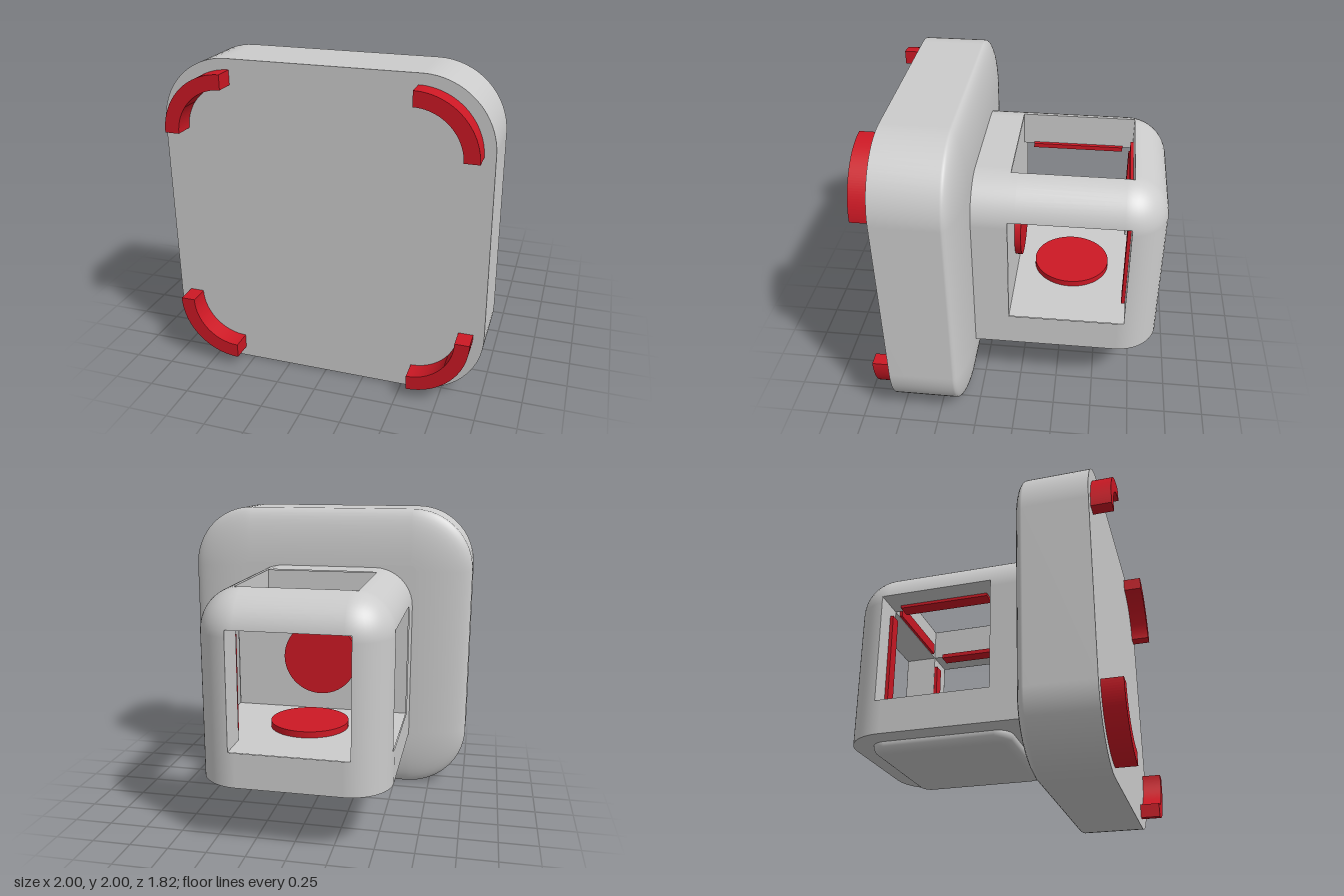
import * as THREE from 'three';

const grey = new THREE.MeshStandardMaterial({ color: 0xcccccc, side: THREE.DoubleSide });
const red = new THREE.MeshStandardMaterial({ color: 0xcc1824 });

function add(parent, name, geometry, material, x = 0, y = 0, z = 0) {
  const mesh = new THREE.Mesh(geometry, material);
  mesh.name = name;
  mesh.position.set(x, y, z);
  parent.add(mesh);
  return mesh;
}

// Rounded square lofted from +z to -z; sections are [inset, z, scale]
function plate(half, radius, sections) {
  const steps = 16, n = 4 * (steps + 1), pos = [], index = [];
  for (const [inset, z, scale = 1] of sections) {
    for (let c = 0; c < 4; c++) {
      const mid = Math.PI / 4 + c * Math.PI / 2;
      const cx = Math.sign(Math.cos(mid)) * (half - radius);
      const cy = Math.sign(Math.sin(mid)) * (half - radius);
      for (let s = 0; s <= steps; s++) {
        const a = (c + s / steps) * Math.PI / 2;
        pos.push((cx + (radius - inset) * Math.cos(a)) * scale, (cy + (radius - inset) * Math.sin(a)) * scale, z);
      }
    }
  }
  for (let k = 0; k < sections.length - 1; k++) {
    for (let i = 0; i < n; i++) {
      const a = k * n + i, b = k * n + (i + 1) % n;
      index.push(a, a + n, b, b, a + n, b + n);
    }
  }
  const g = new THREE.BufferGeometry();
  g.setAttribute('position', new THREE.Float32BufferAttribute(pos, 3));
  g.setIndex(index);
  g.computeVertexNormals();
  return g;
}

// Flat start, sharp edge, straight side, then an elliptical round into a flat end
function plateSections(zStart, zSide, inset, depth) {
  const list = [[0, zStart, 0], [0, zStart], [0, zStart]];
  for (let i = 0; i <= 12; i++) {
    const t = i / 12 * Math.PI / 2;
    list.push([inset * (1 - Math.cos(t)), zSide - depth * Math.sin(t)]);
  }
  list.push([inset, zSide - depth], [inset, zSide - depth, 0]);
  return list;
}

// Box with rounded top, side and back edges, square bottom and front, and four openings
function cageShell(half, radius, hole) {
  const flat = half - radius, lines = [];
  for (let i = 0; i <= 6; i++) {
    const v = flat + radius * i / 6;
    lines.push(v, -v);
  }
  lines.sort((a, b) => a - b);
  const seg = lines.length - 1;
  const g = new THREE.BoxGeometry(2 * half, 2 * half, 2 * half, seg, seg, seg);
  const p = g.attributes.position, nrm = g.attributes.normal;
  const grid = [], v = new THREE.Vector3(), core = new THREE.Vector3();
  const low = new THREE.Vector3(-flat, -half, -flat), high = new THREE.Vector3(flat, flat, half);
  for (let i = 0; i < p.count; i++) {
    v.fromBufferAttribute(p, i);
    v.set(...v.toArray().map(c => lines[Math.round((c + half) / (2 * half) * seg)]));
    grid.push(v.clone());
    core.copy(v).clamp(low, high);
    v.sub(core).normalize();
    const square = nrm.getY(i) < -0.5 || nrm.getZ(i) > 0.5;
    p.setXYZ(i, core.x + v.x * radius, core.y + v.y * radius, core.z + v.z * radius);
    if (!square) nrm.setXYZ(i, v.x, v.y, v.z);
  }
  // Leave out the faces inside the openings (not on the bottom or the front)
  const kept = [], old = g.index.array;
  for (let f = 0; f < old.length; f += 3) {
    const m = new THREE.Vector3();
    for (let k = 0; k < 3; k++) m.addScaledVector(grid[old[f + k]], 1 / 3);
    const inside = m.toArray().filter(c => Math.abs(c) < hole).length === 2;
    const solid = m.y < -half + 1e-4 || m.z > half - 1e-4;
    if (!inside || solid) kept.push(old[f], old[f + 1], old[f + 2]);
  }
  g.clearGroups();
  g.setIndex(kept);
  return g;
}

// Quarter ring with a square section
function cornerFoot(outer, inner, depth) {
  const s = new THREE.Shape();
  s.absarc(0, 0, outer, 0, Math.PI / 2, false);
  s.absarc(0, 0, inner, Math.PI / 2, 0, true);
  return new THREE.ExtrudeGeometry(s, { depth, bevelEnabled: false, curveSegments: 20 });
}

export function createModel() {
  const model = new THREE.Group();

  // Main housing
  add(model, 'housing', plate(1, 0.42, plateSections(0.785, 0.38, 0.38, 0.09)), grey, 0, 1, 0);

  // Four curved feet on the front
  for (let i = 0; i < 4; i++) {
    const a = Math.PI / 4 + i * Math.PI / 2;
    const foot = add(model, 'cornerFoot', cornerFoot(0.375, 0.285, 0.13), red,
      Math.sign(Math.cos(a)) * 0.56, 1 + Math.sign(Math.sin(a)) * 0.56, 0.78);
    foot.rotation.z = i * Math.PI / 2;
  }

  // Open cage on the back
  const cage = new THREE.Group();
  cage.name = 'cage';
  cage.position.set(0, 1, -0.31);
  model.add(cage);
  const hole = 0.375;
  add(cage, 'cageFrame', cageShell(0.6, 0.27, hole), grey);

  // Square linings through the frame: top, back, left, right
  const lining = new THREE.CylinderGeometry(hole * Math.SQRT2, hole * Math.SQRT2, 0.221, 4, 1, true)
    .rotateY(Math.PI / 4).toNonIndexed();
  lining.computeVertexNormals();
  for (const [x, y, z] of [[0, 1, 0], [0, 0, -1], [1, 0, 0], [-1, 0, 0]]) {
    const d = 0.4855;
    const m = add(cage, 'openingLining', lining, grey, x * d, y * d, z * d);
    m.rotation.set(z ? Math.PI / 2 : 0, 0, x ? Math.PI / 2 : 0);
  }

  // Inner floor and front wall
  const square = new THREE.PlaneGeometry(2 * hole, 2 * hole);
  add(cage, 'cageFloor', square, grey, 0, -hole, 0).rotation.x = -Math.PI / 2;
  add(cage, 'cageWall', square, grey, 0, 0, hole).rotation.y = Math.PI;

  // Round pads on the floor and wall
  const pad = new THREE.CylinderGeometry(0.255, 0.255, 0.042, 48);
  add(cage, 'floorPad', pad, red, 0, -hole + 0.02, 0);
  add(cage, 'wallPad', pad, red, 0, 0, hole - 0.02).rotation.x = Math.PI / 2;

  // Thin strips along the inner edges of the frame
  for (const s of [-1, 1]) {
    add(cage, 'topSideStrip', new THREE.BoxGeometry(0.1, 0.03, 0.61), red, s * 0.4, 0.37, 0);
    add(cage, 'postStrip', new THREE.BoxGeometry(0.08, 0.62, 0.03), red, s * 0.418, -0.01, -0.368);
  }
  add(cage, 'topBackStrip', new THREE.BoxGeometry(0.62, 0.08, 0.03), red, 0, 0.418, -0.371);

  // Raised base under the cage
  add(model, 'cageBase', plate(0.46, 0.1, plateSections(0.405, 0.395, 0.06, 0.06)), grey, 0, 0, -0.31)
    .rotation.x = -Math.PI / 2;

  return model;
}
